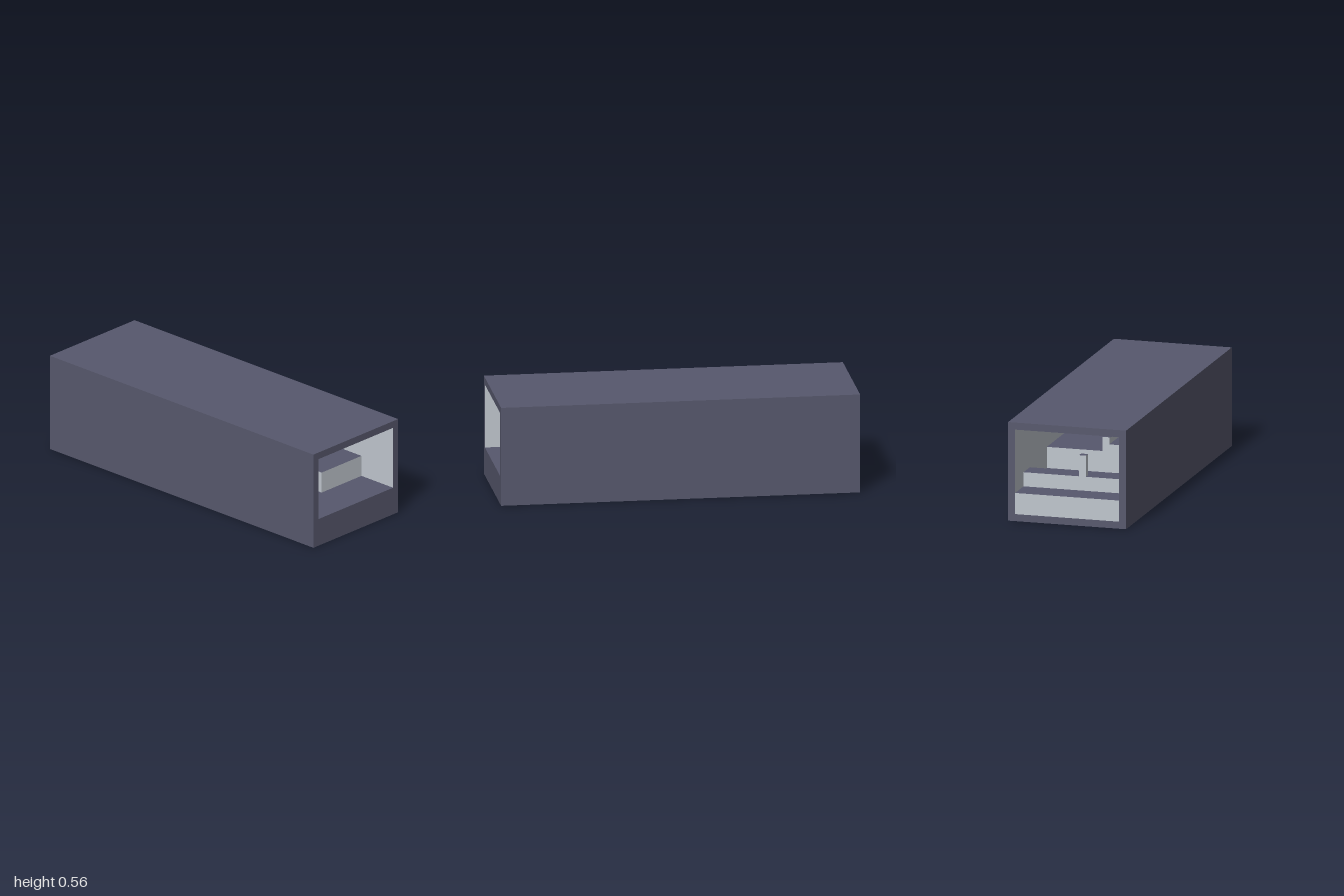
import * as THREE from 'three';

export function createModel() {
  const model = new THREE.Group();
  const dark = new THREE.MeshStandardMaterial({ color: 0x57586d });
  dark.name = 'slate';
  const light = new THREE.MeshStandardMaterial({ color: 0xc0c6ce });
  light.name = 'pale grey';

  // Face materials, in the order +x, -x, +y, -y, +z, -z
  const D = dark, L = light;
  const solid = [D, D, D, D, D, D];
  const block = [L, L, D, D, L, L];

  // Box given by its limits on each axis
  function box(name, [x0, x1], [y0, y1], [z0, z1], faces) {
    const mesh = new THREE.Mesh(new THREE.BoxGeometry(x1 - x0, y1 - y0, z1 - z0), faces);
    mesh.position.set((x0 + x1) / 2, (y0 + y1) / 2, (z0 + z1) / 2);
    mesh.name = name;
    model.add(mesh);
    return mesh;
  }

  const full = [-1, 1], inner = [-0.3, 0.3];

  // Outer shell, open at both ends, with pale inner walls
  box('baseSlab', full, [0, 0.04], inner, solid);
  box('roof', full, [0.52, 0.56], [-0.34, 0.34], solid);
  box('frontWall', full, [0, 0.52], [0.3, 0.34], [D, D, D, D, D, L]);
  box('backWall', full, [0, 0.52], [-0.34, -0.3], [D, D, D, D, L, D]);

  // Raised floor with a pale riser at one end
  box('floor', full, [0.04, 0.16], inner, [D, L, D, D, D, D]);

  // Low step and post near the -x end
  box('entryStep', [-0.84, -0.72], [0.16, 0.24], inner, block);
  box('post', [-0.84, -0.8], [0.24, 0.36], [0.02, 0.06], block);

  // Platforms and the step leading up to the higher one
  box('backPlatform', [-0.4, 0.76], [0.16, 0.28], [-0.3, 0.02], block);
  box('frontPlatform', [-0.4, 0.52], [0.16, 0.32], [0.02, 0.3], block);
  box('platformStep', [0.52, 0.64], [0.16, 0.2], [0.02, 0.3], block);
  box('kerb', [-0.4, 0.4], [0.32, 0.36], [0.02, 0.06], block);

  // Hanging ceiling with two beams and a thin panel between them
  const span = [-0.5, 0.5];
  box('hangingCeiling', span, [0.44, 0.48], inner, solid);
  box('innerBeam', span, [0.4, 0.44], [-0.1, -0.06], block);
  box('outerBeam', span, [0.4, 0.44], [-0.3, -0.26], block);
  box('ceilingPanel', span, [0.4, 0.405], [-0.26, -0.1], block);

  // Sloping screen from the kerb up to the hanging ceiling
  const screen = box('slopingScreen', [-0.4, 0.4], [0.398, 0.402],
    [0.16 - Math.hypot(0.2, 0.08) / 2, 0.16 + Math.hypot(0.2, 0.08) / 2], solid);
  screen.rotation.x = -Math.atan2(0.08, 0.2);

  return model;
}
